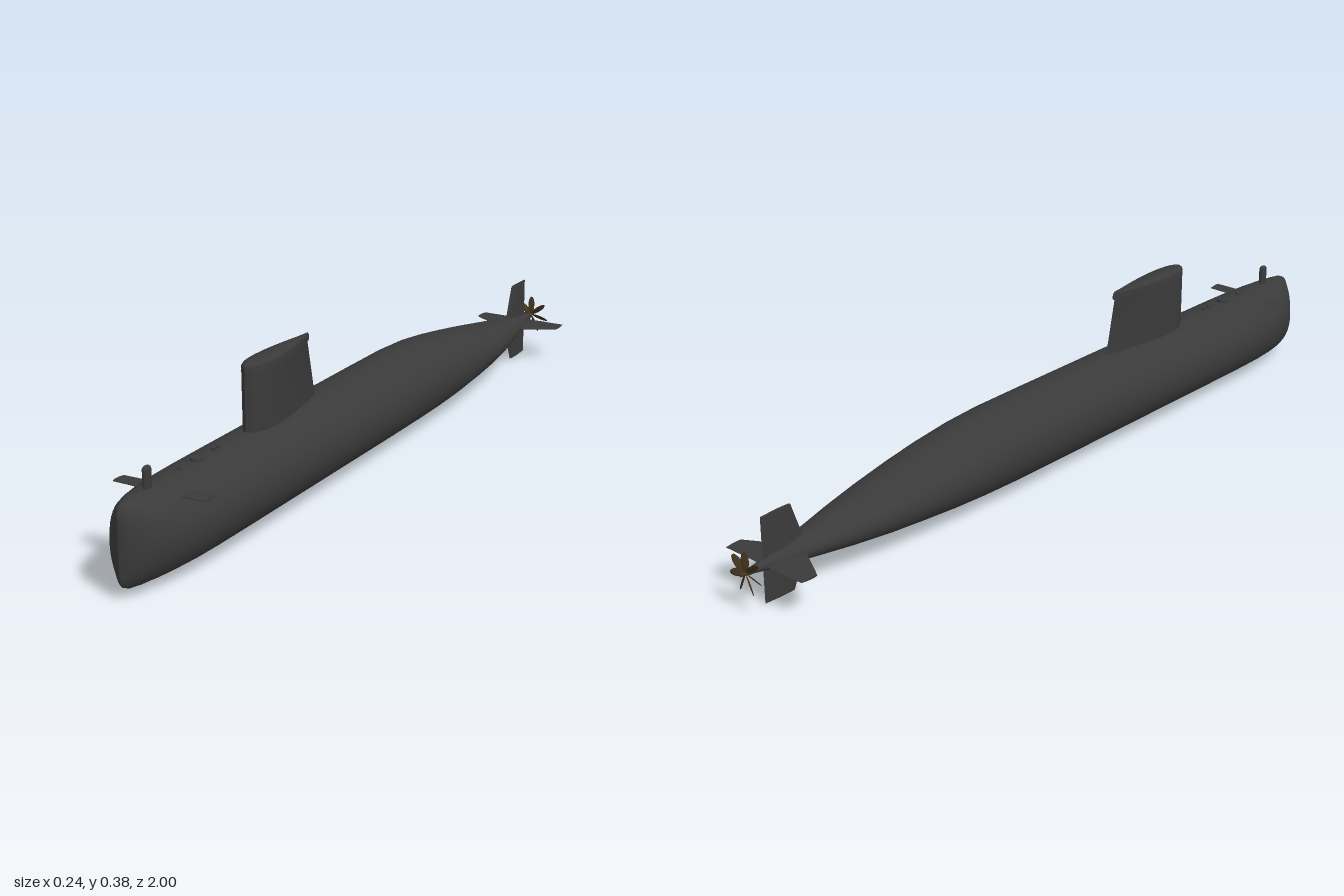
import * as THREE from 'three';
import { toCreasedNormals } from 'three/addons/utils/BufferGeometryUtils.js';

// Skin a list of closed rings (arrays of [x, y, z]) and cap both ends
function loft(rings) {
  const n = rings[0].length, pos = rings.flat(2), index = [];
  for (let i = 0; i < rings.length - 1; i++) {
    for (let j = 0; j < n; j++) {
      const k = (j + 1) % n, a = i * n + j, b = i * n + k;
      index.push(a, b, b + n, a, b + n, a + n);
    }
  }
  [0, rings.length - 1].forEach((r, end) => {
    const c = pos.length / 3;
    for (let m = 0; m < 3; m++) pos.push(rings[r].reduce((s, p) => s + p[m], 0) / n);
    for (let j = 0; j < n; j++) {
      const a = r * n + j, b = r * n + (j + 1) % n;
      if (end) index.push(c, a, b); else index.push(c, b, a);
    }
  });
  const geo = new THREE.BufferGeometry();
  geo.setAttribute('position', new THREE.Float32BufferAttribute(pos, 3));
  geo.setIndex(index);
  geo.computeVertexNormals();
  return geo;
}

// Horizontal teardrop section: height, leading z, trailing z, half width
function foil([y, front, back, w], steps = 14) {
  const ring = [];
  for (let j = 0; j < steps * 2; j++) {
    const u = j <= steps ? j / steps : 2 - j / steps;
    const t = (1 - Math.cos(Math.PI * u)) / 2;
    const s = 2.969 * Math.sqrt(t) - 1.26 * t - 3.516 * t ** 2 + 2.843 * t ** 3 - 1.036 * t ** 4;
    ring.push([(j <= steps ? 1 : -1) * w * Math.max(s, 0), y, front + (back - front) * t]);
  }
  return ring;
}

const foilBody = (sections) => toCreasedNormals(loft(sections.map((s) => foil(s))), 0.7);

export function createModel() {
  const model = new THREE.Group();
  model.name = 'submarine';
  const grey = new THREE.MeshStandardMaterial({ color: 0x3a3a3a });
  grey.name = 'hull grey';
  const bronze = new THREE.MeshStandardMaterial({ color: 0x44331f });
  bronze.name = 'dark bronze';

  const add = (name, geo, mat = grey, parent = model) => {
    const mesh = new THREE.Mesh(geo, mat);
    mesh.name = name;
    parent.add(mesh);
    return mesh;
  };

  // Hull stations: z, half width, bottom y, top y
  const stations = [
    [-0.99, 0.004, 0.091, 0.099], [-0.94, 0.013, 0.083, 0.108], [-0.88, 0.027, 0.075, 0.116],
    [-0.8, 0.045, 0.065, 0.13], [-0.7, 0.067, 0.054, 0.147], [-0.6, 0.083, 0.044, 0.165],
    [-0.5, 0.094, 0.036, 0.182], [-0.4, 0.101, 0.028, 0.198], [-0.3, 0.104, 0.022, 0.211],
    [-0.2, 0.105, 0.019, 0.217], [-0.05, 0.105, 0.018, 0.218], [0.6, 0.105, 0.018, 0.218],
    [0.72, 0.104, 0.018, 0.218], [0.8, 0.1, 0.018, 0.218], [0.86, 0.091, 0.018, 0.218],
    [0.91, 0.077, 0.018, 0.218], [0.95, 0.059, 0.019, 0.217], [0.975, 0.041, 0.021, 0.215],
    [0.99, 0.024, 0.028, 0.208], [0.997, 0.011, 0.037, 0.199], [1.0, 0.002, 0.05, 0.186],
  ];
  add('hull', loft(stations.map(([z, w, lo, hi]) => {
    const ring = [];
    for (let j = 0; j < 40; j++) {
      const a = (j / 40) * Math.PI * 2;
      ring.push([Math.cos(a) * w, (lo + hi) / 2 + Math.sin(a) * (hi - lo) / 2, z]);
    }
    return ring;
  })));

  // Sail with a small overhanging lip at its trailing top edge
  add('sail', foilBody([
    [0.19, 0.517, 0.212, 0.029], [0.355, 0.517, 0.248, 0.029], [0.361, 0.517, 0.241, 0.029],
    [0.369, 0.517, 0.241, 0.029], [0.374, 0.515, 0.243, 0.026], [0.377, 0.51, 0.248, 0.021],
  ]));
  add('sailTopFairing', foilBody([
    [0.37, 0.335, 0.243, 0.007], [0.378, 0.33, 0.246, 0.005],
  ]));

  // Tail fins, built upright and turned around the shaft axis
  const axisY = 0.095;
  const tailFins = [
    ['upperRudder', 0, 0.115, -0.81, -0.85, 0.005],
    ['lowerRudder', Math.PI, 0.095, -0.81, -0.85, 0.005],
    ['leftSternPlane', -Math.PI / 2, 0.121, -0.82, -0.89, 0.004],
    ['rightSternPlane', Math.PI / 2, 0.121, -0.82, -0.89, 0.004],
  ];
  for (const [name, angle, span, rootZ, tipZ, w] of tailFins) {
    const fin = add(name, foilBody([[0, rootZ, -0.936, w], [span, tipZ, -0.936, w * 0.7]]));
    fin.position.y = axisY;
    fin.rotation.z = angle;
  }

  // Bow planes
  for (const side of [1, -1]) {
    const plane = add(side > 0 ? 'leftBowPlane' : 'rightBowPlane',
      foilBody([[0.045, 0.855, 0.812, 0.003], [0.118, 0.853, 0.814, 0.003]]));
    plane.position.y = 0.195;
    plane.rotation.z = -side * Math.PI / 2;
  }

  // Sonar dome on the bow
  const dome = add('sonarDome', new THREE.CapsuleGeometry(0.008, 0.06, 6, 16));
  dome.scale.z = 1.6;
  dome.position.set(0, 0.229, 0.893);

  // Deck hatches and fittings: z, radius, top y
  for (const [z, r, top] of [[0.71, 0.017, 0.224], [0.775, 0.006, 0.224], [0.645, 0.007, 0.225], [0.625, 0.006, 0.224]]) {
    const hatch = add('deckHatch', new THREE.CylinderGeometry(r * 0.85, r, 0.02, 20));
    hatch.position.set(0, top - 0.01, z);
  }

  // Seven-bladed propeller
  const propeller = new THREE.Group();
  propeller.name = 'propeller';
  propeller.position.set(0, axisY, -0.985);
  model.add(propeller);
  const hub = add('propellerHub', new THREE.CylinderGeometry(0.008, 0.003, 0.03, 16), bronze, propeller);
  hub.rotation.x = Math.PI / 2;
  const bladeGeo = new THREE.SphereGeometry(1, 12, 8);
  bladeGeo.scale(0.009, 0.024, 0.0015);
  bladeGeo.rotateY(0.7);
  bladeGeo.translate(0, 0.028, 0);
  for (let i = 0; i < 7; i++) {
    add('propellerBlade', bladeGeo, bronze, propeller).rotation.z = (i / 7) * Math.PI * 2;
  }
  return model;
}
